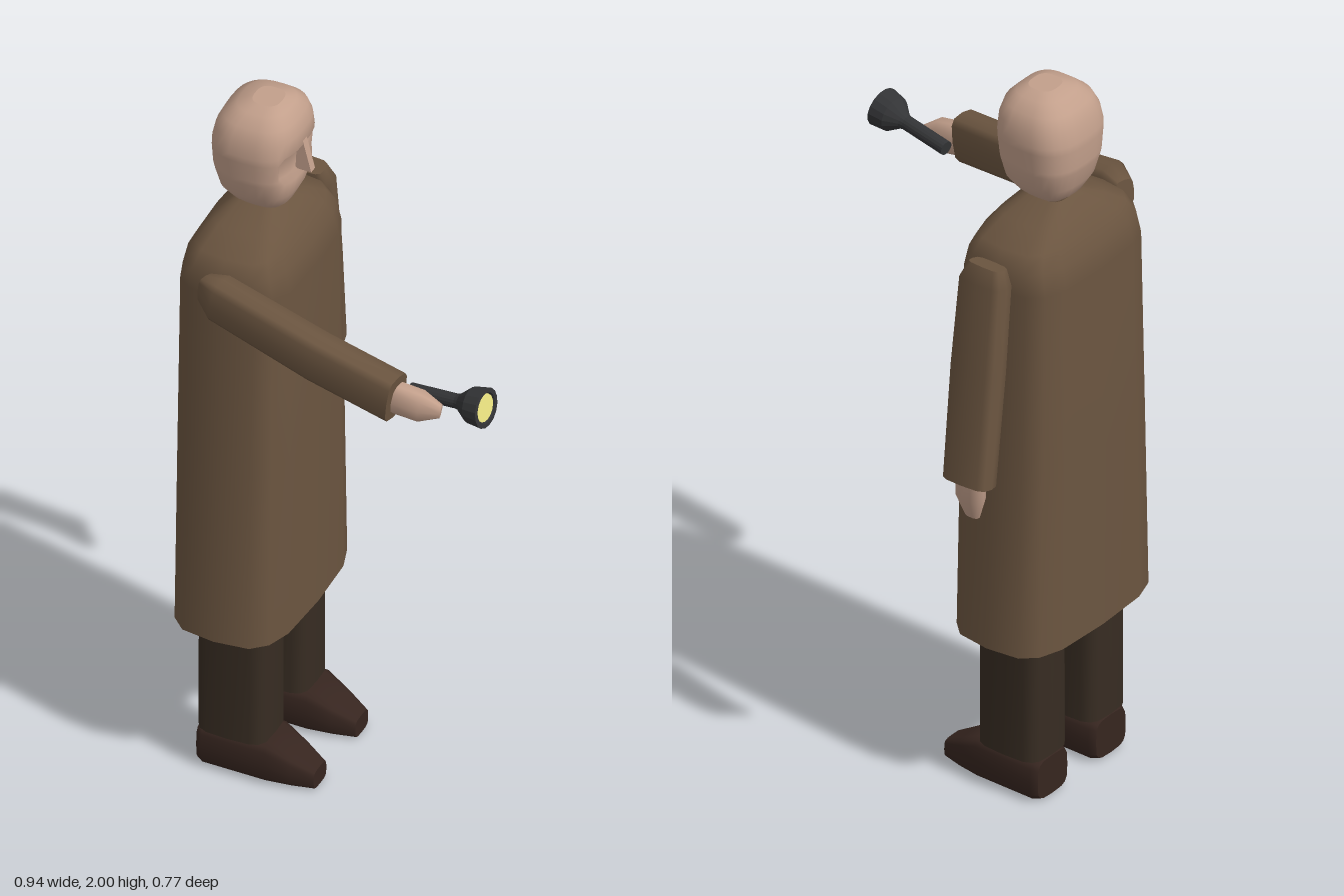
import * as THREE from 'three';

const paint = (color, side = THREE.FrontSide) => new THREE.MeshStandardMaterial({ color, side });
const coatCloth = paint(0x6b5540, THREE.DoubleSide);
const skin = paint(0xc29f8b);
const trouserCloth = paint(0x372c22);
const leather = paint(0x36251f);
const metal = paint(0x333436);
const glow = paint(0xf2ea85);

// Loft of rounded-square sections. Each ring is [x, y, z, halfAlongHint, halfAcross].
function loft(rings, { hint, axis, sides = 16, power = 3.5, caps = true }) {
  const pos = [], index = [];
  const centers = rings.map(r => new THREE.Vector3(r[0], r[1], r[2]));
  const round = t => Math.sign(t) * Math.pow(Math.abs(t), 2 / power);
  rings.forEach((r, i) => {
    const t = axis ? axis.clone() : centers[Math.min(i + 1, rings.length - 1)].clone()
      .sub(centers[Math.max(i - 1, 0)]).normalize();
    const v = hint.clone().addScaledVector(t, -hint.dot(t)).normalize();
    const w = new THREE.Vector3().crossVectors(t, v);
    for (let j = 0; j < sides; j++) {
      const a = (j / sides) * Math.PI * 2;
      const p = centers[i].clone().addScaledVector(v, r[3] * round(Math.cos(a)))
        .addScaledVector(w, r[4] * round(Math.sin(a)));
      pos.push(p.x, p.y, p.z);
    }
  });
  for (let i = 0; i < rings.length - 1; i++) {
    for (let j = 0; j < sides; j++) {
      const k = (j + 1) % sides;
      const a = i * sides + j, b = i * sides + k, c = b + sides, d = a + sides;
      index.push(a, b, c, a, c, d);
    }
  }
  // End caps with their own vertices, so the rims stay sharp
  if (caps) {
    for (const i of [0, rings.length - 1]) {
      const base = pos.length / 3;
      pos.push(...pos.slice(i * sides * 3, (i + 1) * sides * 3), ...centers[i].toArray());
      for (let j = 0; j < sides; j++) {
        const a = base + j, b = base + (j + 1) % sides;
        index.push(base + sides, ...(i === 0 ? [b, a] : [a, b]));
      }
    }
  }
  const g = new THREE.BufferGeometry();
  g.setAttribute('position', new THREE.Float32BufferAttribute(pos, 3));
  g.setIndex(index);
  g.computeVertexNormals();
  return g;
}

export function createModel() {
  const root = new THREE.Group();
  const X = new THREE.Vector3(1, 0, 0), Y = new THREE.Vector3(0, 1, 0), Z = new THREE.Vector3(0, 0, 1);
  const add = (name, geometry, material, parent = root) => {
    const m = new THREE.Mesh(geometry, material);
    m.name = name;
    parent.add(m);
    return m;
  };

  // Long coat, open at the hem
  add('coat', loft([
    [0.47, 0.160, 0.268], [1.00, 0.158, 0.253], [1.52, 0.156, 0.237], [1.58, 0.142, 0.230],
    [1.62, 0.122, 0.203], [1.66, 0.095, 0.135], [1.695, 0.055, 0.055],
  ].map(([y, a, b]) => [-0.31, y, 0, a, b]), { hint: X, axis: Y, caps: false }), coatCloth);

  // Head: sections from chin to crown, given as back x, front x, half width
  const head = loft([
    [1.685, -0.35, -0.245, 0.045], [1.71, -0.38, -0.222, 0.072], [1.75, -0.402, -0.203, 0.104],
    [1.80, -0.415, -0.192, 0.117], [1.815, -0.418, -0.190, 0.119], [1.87, -0.42, -0.187, 0.126],
    [1.89, -0.419, -0.187, 0.127], [1.93, -0.41, -0.191, 0.122], [1.965, -0.393, -0.201, 0.105],
    [1.99, -0.36, -0.225, 0.074], [2.0, -0.325, -0.25, 0.04],
  ].map(([y, back, front, w]) => [(back + front) / 2, y, 0, (front - back) / 2, w]),
  { hint: X, axis: Y, sides: 32, power: 2.8 });
  // Press in the eye sockets under the brow
  const hp = head.attributes.position;
  for (let i = 0; i < hp.count; i++) {
    const y = hp.getY(i);
    if (y > 1.81 && y < 1.88 && hp.getX(i) > -0.3 && Math.abs(hp.getZ(i)) < 0.085) {
      hp.setX(i, hp.getX(i) - 0.018);
    }
  }
  head.computeVertexNormals();
  add('head', head, skin);

  // Thin wedge nose
  const noseSide = new THREE.Shape([[-0.23, 1.81], [-0.165, 1.81], [-0.188, 1.90], [-0.23, 1.90]]
    .map(p => new THREE.Vector2(...p)));
  add('nose', new THREE.ExtrudeGeometry(noseSide, { depth: 0.022, bevelEnabled: false })
    .translate(0, 0, -0.011), skin);

  // Legs and shoes, mirrored
  for (const [side, s] of [['left', -1], ['right', 1]]) {
    const z = s * 0.118;
    add(side + 'TrouserLeg', loft([[-0.307, 0.12, z, 0.097, 0.080], [-0.307, 0.62, z, 0.097, 0.078]],
      { hint: X, axis: Y, sides: 16, power: 4 }), trouserCloth);
    add(side + 'Shoe', loft([
      [-0.402, 0.060, z, 0.060, 0.056], [-0.385, 0.061, z, 0.071, 0.061], [-0.21, 0.061, z, 0.071, 0.061],
      [-0.145, 0.043, z, 0.056, 0.043], [-0.088, 0.027, z, 0.036, 0.027],
    ], { hint: Z, axis: X, power: 4 }), leather);
  }

  // Hanging arm
  add('hangingSleeve', loft([
    [-0.31, 1.603, -0.262, 0.050, 0.027], [-0.31, 1.56, -0.272, 0.068, 0.038],
    [-0.312, 1.32, -0.303, 0.072, 0.040], [-0.32, 1.01, -0.349, 0.070, 0.037],
  ], { hint: X, sides: 12 }), coatCloth);
  add('hangingHand', loft([
    [-0.32, 1.03, -0.343, 0.040, 0.026], [-0.316, 0.96, -0.339, 0.042, 0.025],
    [-0.312, 0.897, -0.326, 0.022, 0.012],
  ], { hint: X, sides: 10, power: 2.5 }), skin);

  // Arm stretched forward
  add('raisedSleeve', loft([
    [-0.338, 1.562, 0.258, 0.026, 0.038], [-0.29, 1.558, 0.276, 0.044, 0.060],
    [0.0, 1.495, 0.310, 0.045, 0.065], [0.232, 1.465, 0.341, 0.044, 0.066],
  ], { hint: Z, sides: 12 }), coatCloth);
  add('raisedHand', loft([
    [0.22, 1.46, 0.333, 0.030, 0.046], [0.295, 1.45, 0.327, 0.031, 0.045],
    [0.345, 1.442, 0.316, 0.012, 0.020],
  ], { hint: Z, sides: 10, power: 2.5 }), skin);

  // Flashlight: a turned body with a recessed lens, pointing along the arm
  const light = new THREE.Group();
  light.name = 'flashlight';
  const profile = [[0, 0], [0.019, 0], [0.019, 0.135], [0.022, 0.145], [0.047, 0.178],
    [0.053, 0.22], [0.041, 0.22], [0.038, 0.212], [0, 0.212]].map(p => new THREE.Vector2(...p));
  const body = new THREE.LatheGeometry(profile, 16).toNonIndexed();
  body.computeVertexNormals();
  add('flashlightBody', body, metal, light);
  add('flashlightLens', new THREE.CylinderGeometry(0.037, 0.037, 0.006, 16).translate(0, 0.214, 0), glow, light);
  const tail = new THREE.Vector3(0.245, 1.452, 0.281), tip = new THREE.Vector3(0.462, 1.48, 0.3);
  light.position.copy(tail);
  light.quaternion.setFromUnitVectors(Y, tip.sub(tail).normalize());
  root.add(light);

  return root;
}
